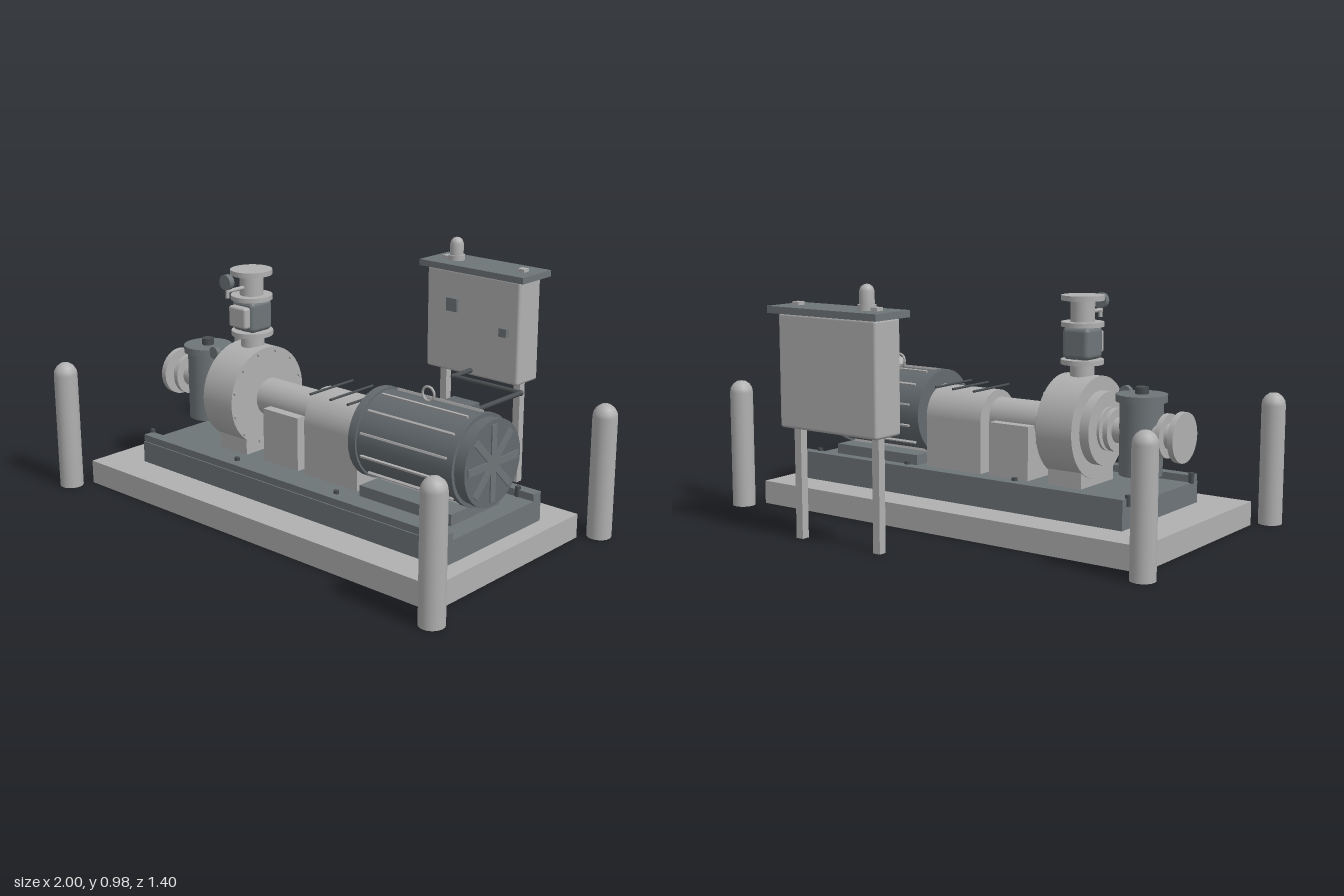
import * as THREE from 'three';
import { RoundedBoxGeometry } from 'three/addons/geometries/RoundedBoxGeometry.js';

const material = (name, color) => Object.assign(new THREE.MeshStandardMaterial({ color }), { name });

export function createModel() {
  const light = material('light grey paint', 0xb0b0b0);
  const dark = material('slate grey steel', 0x6e7578);
  const motorGrey = material('motor grey', 0x636a6e);
  const black = material('dark fittings', 0x4a4e51);
  const root = new THREE.Group();
  const Z = 0.153, AXIS = 0.405; // shaft line

  const add = (name, geo, mat, x = 0, y = 0, z = 0) => {
    const m = new THREE.Mesh(geo, mat);
    m.name = name;
    m.position.set(x, y, z);
    root.add(m);
    return m;
  };
  // Box given by its limits on each axis
  const box = (name, mat, [x0, x1], [y0, y1], [z0, z1], r = 0) => {
    const s = [x1 - x0, y1 - y0, z1 - z0];
    const g = r ? new RoundedBoxGeometry(...s, 3, r) : new THREE.BoxGeometry(...s);
    return add(name, g, mat, (x0 + x1) / 2, (y0 + y1) / 2, (z0 + z1) / 2);
  };
  // Cylinders running along x, y or z between two limits
  const cylX = (name, mat, r, x0, x1, y = AXIS, z = Z, n = 32) =>
    add(name, new THREE.CylinderGeometry(r, r, x1 - x0, n).rotateZ(Math.PI / 2), mat, (x0 + x1) / 2, y, z);
  const cylY = (name, mat, r, y0, y1, x, z = Z, n = 32) =>
    add(name, new THREE.CylinderGeometry(r, r, y1 - y0, n), mat, x, (y0 + y1) / 2, z);
  const cylZ = (name, mat, r, z0, z1, x, y, n = 24) =>
    add(name, new THREE.CylinderGeometry(r, r, z1 - z0, n).rotateX(Math.PI / 2), mat, x, y, (z0 + z1) / 2);

  // Concrete plinth and steel skid with raised side rails
  box('plinth', light, [-0.905, 0.9], [0, 0.095], [-0.275, 0.58]);
  box('skid', dark, [-0.74, 0.83], [0.095, 0.182], [-0.13, 0.44]);
  for (const [z0, z1, zb] of [[-0.13, -0.085, -0.09], [0.39, 0.435, 0.39]]) {
    box('skidRail', dark, [-0.74, 0.83], [0.18, 0.21], [z0, z1]);
    for (const x of [-0.74, -0.24, 0.285, 0.755]) cylY('anchorBolt', black, 0.011, 0.18, 0.222, x, zb, 6);
  }

  // Bollards with domed tops
  const bollard = [[0, 0], [0.047, 0], [0.047, 0], [0.047, 0.475], [0.044, 0.492], [0.034, 0.508], [0.018, 0.52], [0, 0.523]]
    .map(p => new THREE.Vector2(...p));
  for (const x of [-0.953, 0.953]) for (const z of [-0.347, 0.653])
    add('bollard', new THREE.LatheGeometry(bollard, 20), light, x, 0, z);

  // Motor: ribbed barrel, end bells and fan cover
  const MY = 0.393;
  cylX('motorBarrel', motorGrey, 0.166, 0.3, 0.76, MY);
  cylX('motorFrontBell', motorGrey, 0.174, 0.285, 0.32, MY);
  cylX('motorRearBell', motorGrey, 0.174, 0.75, 0.768, MY);
  cylX('fanCover', motorGrey, 0.16, 0.768, 0.805, MY);
  cylX('fanCoverRim', motorGrey, 0.163, 0.795, 0.815, MY);
  for (let i = 0; i < 12; i++) {
    const a = (15 + 30 * i) * Math.PI / 180;
    const fin = box('motorFin', light, [0.34, 0.735], [-0.007, 0.007], [-0.004, 0.004]);
    fin.position.set(0.537, MY + 0.168 * Math.sin(a), Z + 0.168 * Math.cos(a));
    fin.rotation.x = Math.PI / 2 - a;
  }
  for (let i = 0; i < 4; i++) {
    const spoke = box('fanGrilleSpoke', dark, [0.812, 0.82], [-0.145, 0.145], [-0.014, 0.014]);
    spoke.position.set(0.816, MY, Z);
    spoke.rotation.x = i * Math.PI / 4;
  }
  box('motorFoot', dark, [0.32, 0.75], [0.18, 0.225], [0.015, 0.3]);
  add('liftingEye', new THREE.TorusGeometry(0.027, 0.005, 8, 24), light, 0.52, 0.587, Z);
  box('terminalBox', motorGrey, [0.46, 0.58], [0.4, 0.512], [-0.075, 0.04]);

  // Arched coupling guard with strap rods
  const arch = new THREE.Shape();
  arch.moveTo(-0.12, 0.18);
  arch.lineTo(0.12, 0.18);
  arch.lineTo(0.12, 0.388);
  arch.absarc(0, 0.388, 0.12, 0, Math.PI, false);
  arch.closePath();
  add('couplingGuard', new THREE.ExtrudeGeometry(arch, { depth: 0.27, bevelEnabled: false, curveSegments: 24 })
    .rotateY(Math.PI / 2), light, 0.012, 0, Z);
  for (const x of [0.045, 0.148, 0.235]) cylZ('guardRod', black, 0.005, 0.033, 0.273, x, 0.512, 8);

  // Bearing housing on its pedestal
  cylX('shaft', black, 0.025, -0.02, 0.3);
  cylX('bearingHousing', light, 0.075, -0.29, 0);
  cylX('housingNeck', light, 0.06, -0.31, -0.28);
  box('bearingPedestal', light, [-0.215, -0.03], [0.18, 0.397], [0.035, 0.267]);

  // Pump casing, suction cover and foot
  cylX('volute', light, 0.199, -0.465, -0.305, AXIS, Z, 48);
  cylX('suctionCover', light, 0.143, -0.505, -0.46);
  box('pumpFoot', light, [-0.46, -0.31], [0.18, 0.3], [0.035, 0.27]);
  for (let i = 0; i < 12; i++) {
    const a = (15 + 30 * i) * Math.PI / 180;
    cylX('casingBolt', light, 0.008, -0.31, -0.297, AXIS + 0.185 * Math.sin(a), Z + 0.185 * Math.cos(a), 6);
  }

  // Discharge riser: pipe, flanges, valve and gauge
  const DX = -0.385;
  cylY('dischargePipe', light, 0.047, 0.58, 0.9, DX);
  for (const [y0, y1] of [[0.645, 0.664], [0.79, 0.808], [0.89, 0.91]])
    cylY('dischargeFlange', light, 0.083, y0, y1, DX);
  box('checkValve', dark, [DX - 0.06, DX + 0.06], [0.664, 0.79], [Z - 0.058, Z + 0.058], 0.02);
  box('valveCover', light, [DX - 0.047, DX + 0.047], [0.685, 0.77], [0.2, 0.238], 0.01);
  cylZ('gaugePipe', light, 0.008, 0.19, 0.287, DX, 0.842, 12);
  cylY('gaugeStem', light, 0.008, 0.815, 0.86, DX, 0.283, 12);
  cylZ('pressureGauge', dark, 0.03, 0.273, 0.297, DX, 0.879);

  // Suction line with strainer
  const SX = -0.65;
  cylX('suctionPipe', light, 0.05, -0.83, -0.5);
  for (const [x0, x1, r] of [[-0.835, -0.812, 0.096], [-0.772, -0.752, 0.084], [-0.55, -0.53, 0.084], [-0.515, -0.5, 0.084]])
    cylX('suctionFlange', light, r, x0, x1);
  cylY('strainerBody', dark, 0.083, 0.245, 0.53, SX);
  cylY('strainerLid', dark, 0.098, 0.525, 0.553, SX);
  cylY('lidNut', black, 0.026, 0.55, 0.58, SX, Z, 6);
  cylY('drainPlug', black, 0.01, 0.22, 0.25, SX, Z, 12);
  cylY('suctionGaugeStem', light, 0.007, 0.44, 0.54, -0.553, 0.193, 12);
  cylZ('suctionGauge', dark, 0.025, 0.19, 0.213, -0.553, 0.545);

  // Control cabinet on two posts, with roof, beacon and switches
  for (const x of [0, 0.38]) box('cabinetPost', light, [x - 0.016, x + 0.016], [0, 0.9], [-0.623, -0.59]);
  box('cabinet', light, [-0.05, 0.42], [0.432, 0.862], [-0.675, -0.535], 0.012);
  box('cabinetRoof', dark, [-0.075, 0.447], [0.861, 0.887], [-0.703, -0.513]);
  box('cabinetDisplay', dark, [0.06, 0.115], [0.69, 0.745], [-0.54, -0.522]);
  box('cabinetSwitch', dark, [0.335, 0.372], [0.63, 0.665], [-0.54, -0.514]);
  cylY('beaconBase', light, 0.034, 0.887, 0.908, 0.045, -0.607, 24);
  const lens = [[0.028, 0], [0.028, 0.05], [0.022, 0.065], [0.012, 0.073], [0, 0.076]].map(p => new THREE.Vector2(...p));
  add('beaconLens', new THREE.LatheGeometry(lens, 20), light, 0.045, 0.906, -0.607);

  // Power conduit from terminal box to cabinet
  const CY = 0.455, route = [[0.52, -0.06], [0.52, -0.42], [0.187, -0.42], [0.187, -0.545]];
  const path = new THREE.CurvePath();
  for (let i = 0; i < 3; i++)
    path.add(new THREE.LineCurve3(...[route[i], route[i + 1]].map(([x, z]) => new THREE.Vector3(x, CY, z))));
  for (const line of path.curves) add('conduit', new THREE.TubeGeometry(line, 1, 0.01, 12), black);
  for (const [x, z] of route.slice(1, 3)) add('conduitElbow', new THREE.SphereGeometry(0.012, 12, 8), black, x, CY, z);

  return root;
}
